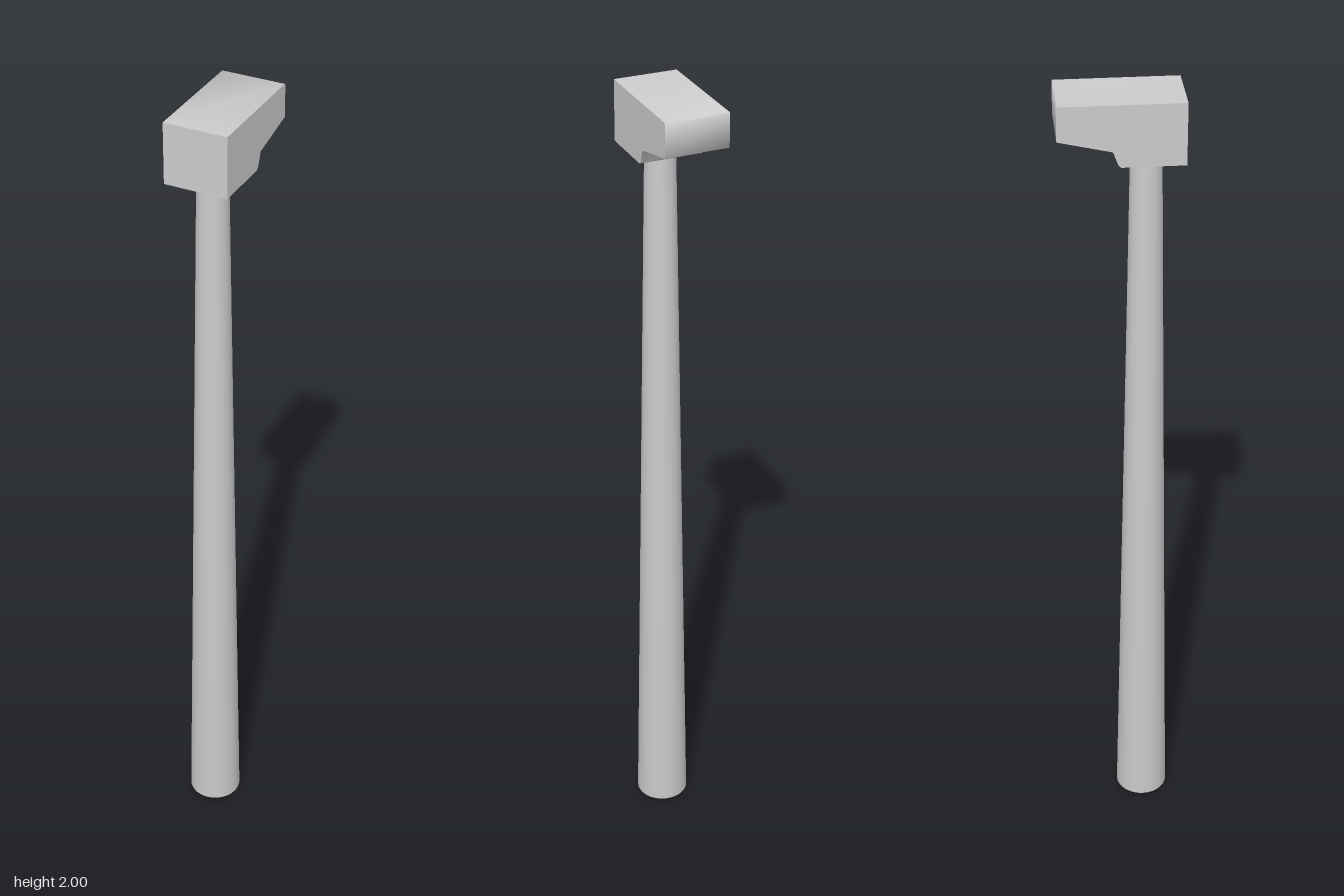
import * as THREE from 'three';
import { toCreasedNormals } from 'three/addons/utils/BufferGeometryUtils.js';

const HEAD_WIDTH = 0.152;
const POLE_Z = 0.06;

export function createModel() {
  const model = new THREE.Group();
  model.name = 'poleWithHead';
  const material = new THREE.MeshStandardMaterial({ color: 0xcccccc });

  // Tapered round pole with a closed foot, softly shaded round the rim
  const poleProfile = [[0, 0], [0.066, 0], [0.036, 1.86]].map(([r, y]) => new THREE.Vector2(r, y));
  const pole = new THREE.Mesh(new THREE.LatheGeometry(poleProfile, 32), material);
  pole.name = 'pole';
  pole.position.z = POLE_Z;
  model.add(pole);

  // Head: side outline (z, y), deep at the front with a thinner tail behind
  const outline = [
    [0.142, 1.855], [-0.002, 1.855], [-0.008, 1.86], [-0.02, 1.892],
    [-0.142, 1.92], [-0.142, 1.997], [-0.139, 2], [0.142, 2],
  ];
  const shape = new THREE.Shape(outline.map(([z, y]) => new THREE.Vector2(-z, y)));
  const block = new THREE.ExtrudeGeometry(shape, { depth: HEAD_WIDTH, bevelEnabled: false });
  block.translate(0, 0, -HEAD_WIDTH / 2);
  block.rotateY(Math.PI / 2);
  const head = new THREE.Mesh(toCreasedNormals(block, 1.4), material);
  head.name = 'head';
  model.add(head);

  return model;
}
